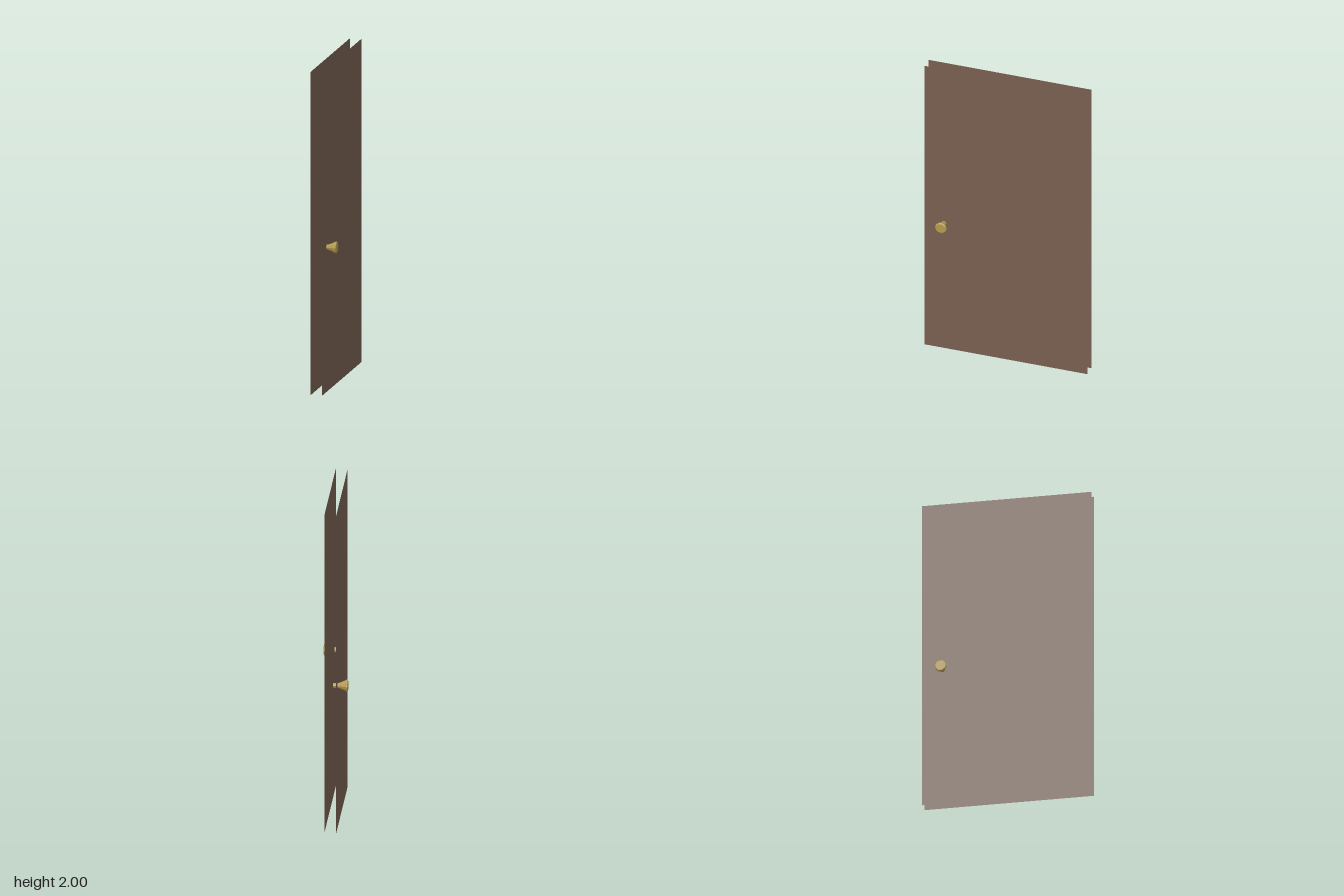
import * as THREE from 'three';

export function createModel() {
  const group = new THREE.Group();
  group.name = 'door';

  const wood = new THREE.MeshStandardMaterial({ color: 0x775f50, side: THREE.DoubleSide });
  wood.name = 'brown wood';
  const brass = new THREE.MeshStandardMaterial({ color: 0xb59b4f, flatShading: true });
  brass.name = 'brass';

  // Door skin: a thin open sheet facing +x
  const panelGeometry = new THREE.PlaneGeometry(1.046, 2);
  panelGeometry.rotateY(Math.PI / 2);

  // Knob: stem, flared cone and chamfered rim, turned to point along +x
  const profile = [
    [0, 0.01], [0.016, 0.01], [0.016, 0.044], [0.034, 0.087],
    [0.037, 0.091], [0.037, 0.096], [0.031, 0.1], [0, 0.1],
  ].map(([r, h]) => new THREE.Vector2(r, h));
  const knobGeometry = new THREE.LatheGeometry(profile, 10);
  knobGeometry.rotateZ(-Math.PI / 2);

  // Each side is the other turned half way round the vertical axis
  for (const [name, angle] of [['left', 0], ['right', Math.PI]]) {
    const side = new THREE.Group();
    side.name = name + 'Side';
    side.rotation.y = angle;

    const panel = new THREE.Mesh(panelGeometry, wood);
    panel.name = name + 'Panel';
    panel.position.set(0.036, 1, 0);

    const knob = new THREE.Mesh(knobGeometry, brass);
    knob.name = name + 'Knob';
    knob.position.set(0, 0.895, 0.398);

    side.add(panel, knob);
    group.add(side);
  }
  return group;
}
